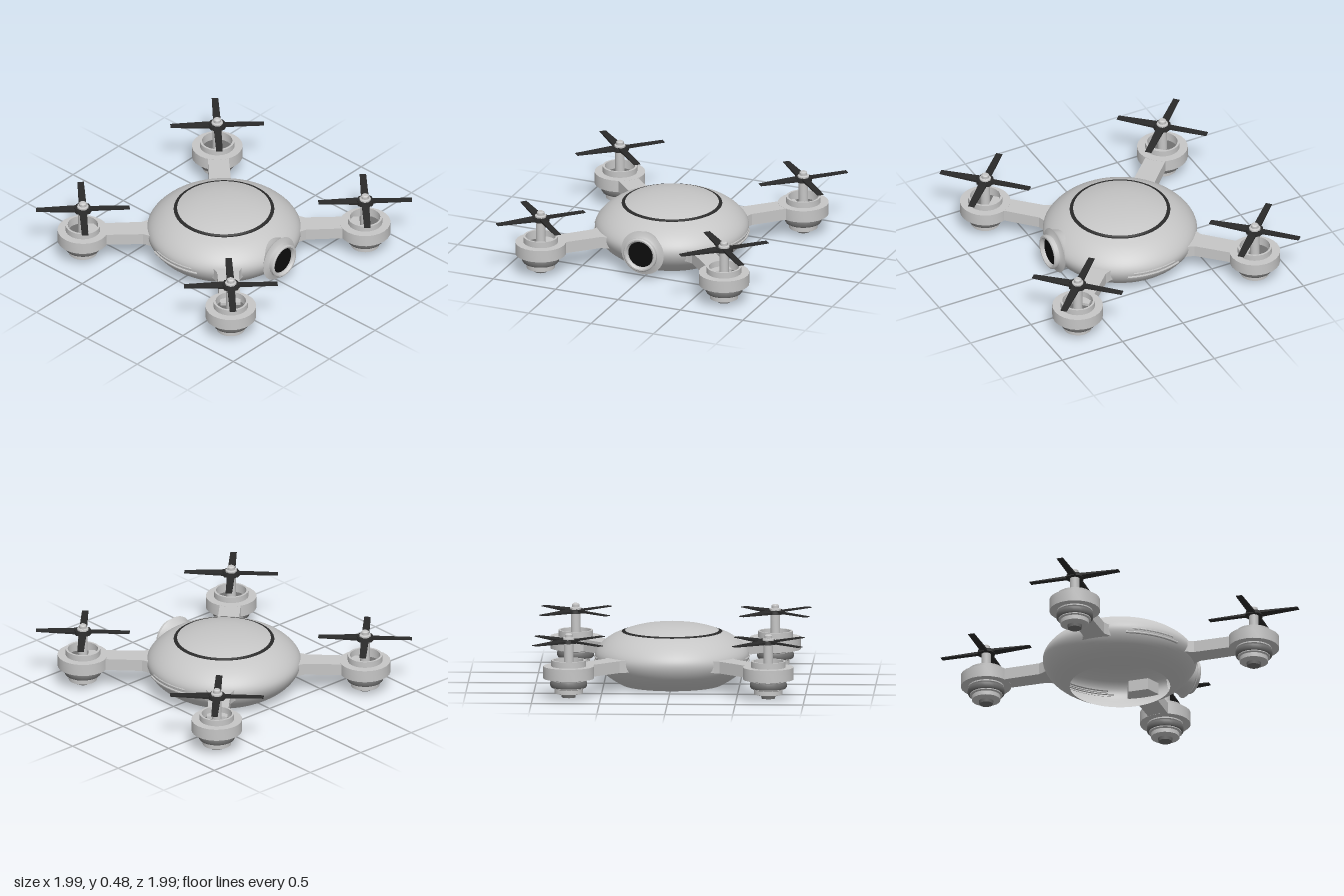
import * as THREE from 'three';
import { toCreasedNormals } from 'three/addons/utils/BufferGeometryUtils.js';

const makeMaterial = (name, color, side = THREE.FrontSide) => {
  const m = new THREE.MeshStandardMaterial({ color, side });
  m.name = name;
  return m;
};

export function createModel() {
  const shell = makeMaterial('light grey shell', 0xc6c6c6, THREE.DoubleSide);
  const band = makeMaterial('mid grey metal', 0x707070);
  const dark = makeMaterial('charcoal', 0x2a2a2a, THREE.DoubleSide);
  const black = makeMaterial('black glass', 0x0c0c0c);

  const model = new THREE.Group();
  model.name = 'quadcopter';

  const add = (parent, name, geometry, material, y = 0) => {
    const mesh = new THREE.Mesh(geometry, material);
    mesh.name = name;
    mesh.position.y = y;
    parent.add(mesh);
    return mesh;
  };
  const vectors = (pts) => pts.map(([x, y]) => new THREE.Vector2(x, y));
  const lathe = (pts, segments, crease = 0.6, start = 0, sweep = Math.PI * 2) =>
    toCreasedNormals(new THREE.LatheGeometry(vectors(pts), segments, start, sweep), crease);

  // Hollow body, open underneath, with a dark seam around the top lid
  const side = new THREE.SplineCurve(vectors([
    [0.37, 0], [0.44, 0.04], [0.505, 0.09], [0.55, 0.15], [0.568, 0.21],
    [0.552, 0.262], [0.505, 0.315], [0.44, 0.36], [0.37, 0.391],
  ])).getPoints(28).map((p) => [p.x, p.y]);
  add(model, 'bodyShell', lathe(side, 72), shell);
  add(model, 'lidSeam', lathe([[0.37, 0.391], [0.358, 0.391], [0.345, 0.4]], 72), dark);
  add(model, 'lid', lathe([
    [0.345, 0.4], [0.3, 0.415], [0.24, 0.43], [0.17, 0.442], [0.09, 0.449], [0, 0.452],
  ], 72), shell);

  // Slim raised vent ribs along both sides
  for (const s of [-1, 1]) {
    for (const [y, half] of [[0.178, 0.38], [0.208, 0.3]]) {
      add(model, 'sideRib', lathe([
        [0.552, -0.009], [0.571, -0.006], [0.573, 0], [0.571, 0.006], [0.552, 0.009],
      ], 20, 0.6, s * Math.PI / 2 - half, half * 2), shell, y);
    }
  }

  // Camera neck, rim and lens
  const camera = new THREE.Group();
  camera.name = 'camera';
  camera.position.y = 0.2;
  camera.rotation.x = Math.PI / 2;
  model.add(camera);
  add(camera, 'cameraHousing', lathe([
    [0.135, 0.45], [0.15, 0.52], [0.17, 0.545], [0.135, 0.553], [0.122, 0.562],
    [0.122, 0.575], [0.13, 0.578], [0.13, 0.598], [0.122, 0.605],
    [0.112, 0.605], [0.1, 0.59], [0.1, 0.57],
  ], 40), shell);
  add(camera, 'lens', new THREE.CylinderGeometry(0.102, 0.102, 0.07, 40), black, 0.541);

  // Arm plan, flared where it meets the body
  const armPlan = new THREE.Shape(vectors([
    [0.42, -0.075], [0.53, -0.12], [0.56, -0.1], [0.6, -0.08], [1.0, -0.075],
    [1.0, 0.075], [0.6, 0.08], [0.56, 0.1], [0.53, 0.12], [0.42, 0.075],
  ]));
  const armGeometry = new THREE.ExtrudeGeometry(armPlan, { depth: 0.088, bevelEnabled: false });
  armGeometry.rotateX(-Math.PI / 2);

  // Motor pod: stepped underside, wide collar and a recessed cup on top
  const podGeometry = lathe([
    [0, 0.032], [0.075, 0.032], [0.105, 0.04], [0.105, 0.072], [0.12, 0.078], [0.12, 0.135],
    [0.132, 0.14], [0.132, 0.15], [0.187, 0.15], [0.187, 0.24],
    [0.128, 0.24], [0.128, 0.285], [0.112, 0.285], [0.112, 0.21],
  ], 24);
  const bandGeometry = lathe([[0.118, 0.085], [0.13, 0.085], [0.136, 0.095],
    [0.136, 0.12], [0.13, 0.132], [0.118, 0.132]], 24);
  const shaftGeometry = lathe([[0.035, 0.2], [0.035, 0.415]], 16);
  const capGeometry = lathe([[0.042, 0.435], [0.042, 0.45], [0.028, 0.455],
    [0.028, 0.475], [0.018, 0.483], [0, 0.483]], 16);

  // Blade, thinner and narrower towards its tip
  const bladeGeometry = new THREE.BoxGeometry(0.33, 0.02, 0.056, 3, 1, 1).translate(0.18, 0, 0);
  const p = bladeGeometry.attributes.position;
  for (let i = 0; i < p.count; i++) {
    const t = (p.getX(i) - 0.015) / 0.33;
    p.setY(i, p.getY(i) * (1 - 0.75 * t) + p.getZ(i) * 0.2 * (1 - t));
    p.setZ(i, p.getZ(i) * (1 - 0.15 * t));
  }
  const blade = toCreasedNormals(bladeGeometry, 0.5);

  for (let k = 0; k < 4; k++) {
    const unit = new THREE.Group();
    unit.name = 'armUnit';
    unit.rotation.y = Math.PI / 4 + k * Math.PI / 2;
    model.add(unit);
    add(unit, 'arm', armGeometry, shell, 0.151);

    const motor = new THREE.Group();
    motor.name = 'motor';
    motor.position.x = 1.039;
    unit.add(motor);
    add(motor, 'motorPod', podGeometry, shell);
    add(motor, 'motorBand', bandGeometry, band);
    add(motor, 'motorFoot', new THREE.CylinderGeometry(0.055, 0.05, 0.028, 20), band, 0.022);
    add(motor, 'cupFloor', new THREE.CylinderGeometry(0.113, 0.113, 0.01, 24), band, 0.212);
    add(motor, 'shaft', shaftGeometry, shell);
    add(motor, 'shaftCap', capGeometry, shell);
    add(motor, 'propellerHub', new THREE.CylinderGeometry(0.065, 0.07, 0.026, 8), dark, 0.425);
    for (let b = 0; b < 4; b++) {
      add(motor, 'propellerBlade', blade, dark, 0.426).rotation.y = b * Math.PI / 2;
    }
  }
  return model;
}
